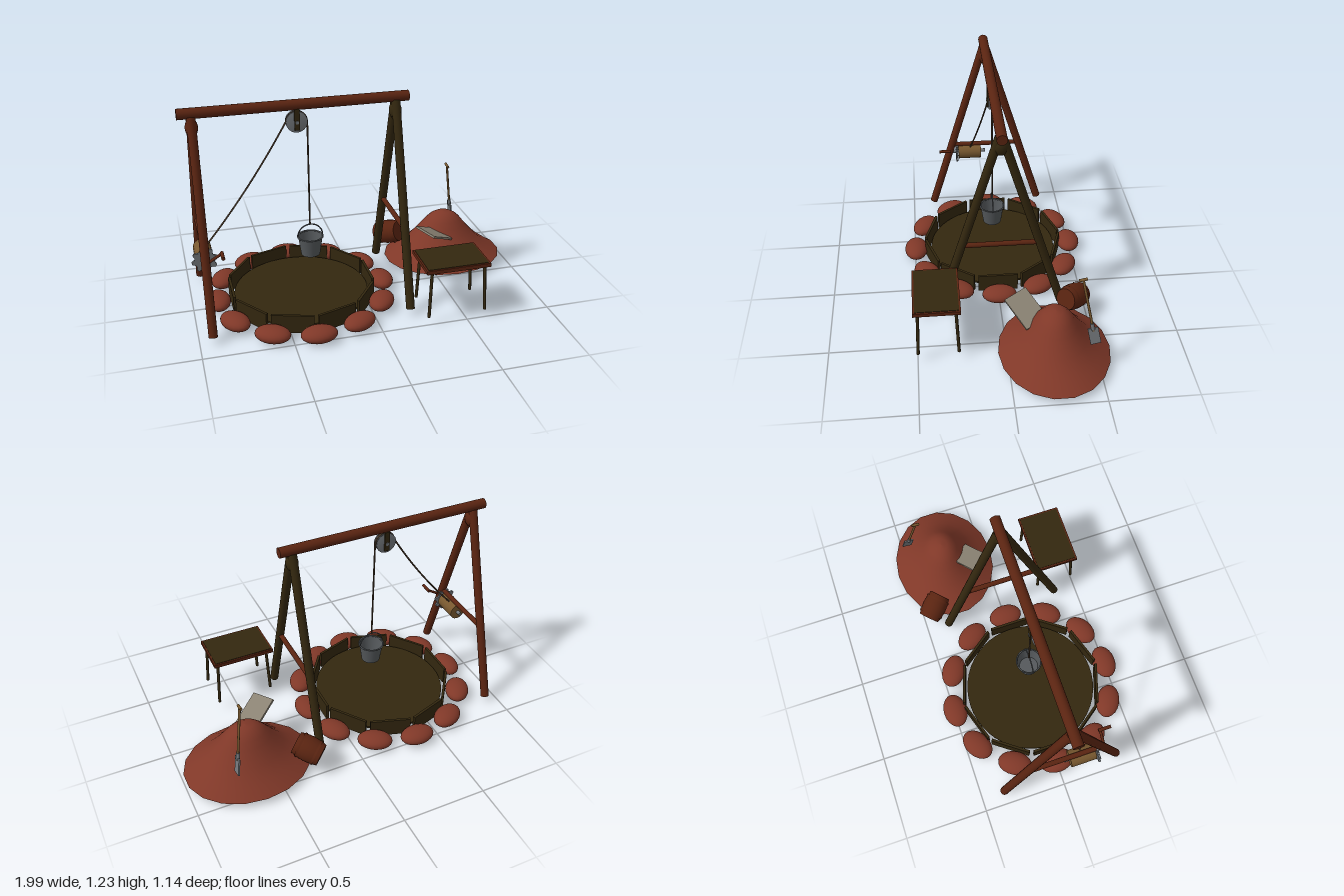
import * as THREE from 'three';

const mat = (name, color, side = THREE.FrontSide) => {
  const m = new THREE.MeshStandardMaterial({ color, side });
  m.name = name;
  return m;
};
const V = (x, y, z) => new THREE.Vector3(x, y, z);

export function createModel() {
  const root = new THREE.Group();
  root.name = 'well';
  const redWood = mat('redWood', 0x5a2411);
  const darkWood = mat('darkWood', 0x33270f);
  const clay = mat('clay', 0x803828, THREE.DoubleSide);
  const steel = mat('steel', 0x73777b);
  const iron = mat('iron', 0x55595c, THREE.DoubleSide);
  const ropeMat = mat('rope', 0x4a3a2a);
  const paleWood = mat('paleWood', 0x78582f);
  const slate = mat('slate', 0x8a8273);

  const add = (name, geo, material, pos = V(0, 0, 0), parent = root) => {
    const m = new THREE.Mesh(geo, material);
    m.name = name;
    m.position.copy(pos);
    parent.add(m);
    return m;
  };
  // Round bar running between two points
  const bar = (name, a, b, r, material, parent = root, r2 = r) => {
    const d = b.clone().sub(a);
    const m = add(name, new THREE.CylinderGeometry(r2, r, d.length(), 16), material,
      a.clone().add(b).multiplyScalar(0.5), parent);
    m.quaternion.setFromUnitVectors(V(0, 1, 0), d.normalize());
    return m;
  };

  // A-frames and top beam
  bar('topBeam', V(-1, 1.2, 0), V(0.28, 1.2, 0), 0.03, redWood);
  for (const [x, wood] of [[-0.925, redWood], [0.205, darkWood]]) {
    for (const s of [-1, 1]) bar('frameLeg', V(x, 0.035, s * 0.36), V(x, 1.18, s * 0.008), 0.025, wood);
    const lash = add('lashing', new THREE.SphereGeometry(1, 16, 12), wood, V(x, 1.12, 0));
    lash.scale.set(0.035, 0.052, 0.045);
    bar('crossTie', V(x, 0.48, -0.23), V(x, 0.48, 0.23), 0.015, redWood);
  }

  // Pit cover, lining boards and ring of stones
  const pit = new THREE.Group();
  pit.name = 'pit';
  pit.position.x = -0.362;
  root.add(pit);
  add('pitFloor', new THREE.CylinderGeometry(0.395, 0.395, 0.012, 48), darkWood, V(0, 0.045, 0), pit);
  for (let i = 0; i < 10; i++) {
    const a = i * Math.PI / 5;
    const m = add('liningBoard', new THREE.BoxGeometry(0.015, 0.11, 0.24), darkWood,
      V(Math.cos(a) * 0.41, 0.067, Math.sin(a) * 0.41), pit);
    m.rotation.y = -a;
  }
  for (let i = 0; i < 12; i++) {
    const a = i * Math.PI / 6;
    const m = add('rimStone', new THREE.SphereGeometry(1, 20, 14), clay,
      V(Math.cos(a) * 0.493, 0.045, Math.sin(a) * 0.493), pit);
    m.scale.set(0.072, 0.045, 0.104);
    m.rotation.y = -a;
  }

  // Pulley and its bracket
  const wheel = new THREE.LatheGeometry([[0, -0.018], [0.06, -0.018], [0.06, -0.009], [0.045, 0],
    [0.06, 0.009], [0.06, 0.018], [0, 0.018]].map(p => new THREE.Vector2(...p)), 28);
  add('pulleyWheel', wheel.toNonIndexed(), steel, V(-0.36, 1.105, 0)).rotation.x = Math.PI / 2;
  wheel.computeVertexNormals();
  for (const s of [-1, 1]) {
    add('pulleyBracket', new THREE.BoxGeometry(0.03, 0.12, 0.008), darkWood, V(-0.36, 1.12, s * 0.024));
  }
  bar('pulleyPin', V(-0.36, 1.105, -0.032), V(-0.36, 1.105, 0.032), 0.01, steel);

  // Ropes
  bar('bucketRope', V(-0.3, 0.47, 0.004), V(-0.3, 1.11, 0.004), 0.005, ropeMat);
  const run = new THREE.QuadraticBezierCurve3(V(-0.412, 1.12, 0.004), V(-0.63, 0.77, 0.05), V(-0.9, 0.47, 0.1));
  add('winchRope', new THREE.TubeGeometry(run, 16, 0.005, 8), ropeMat);
  const over = new THREE.EllipseCurve(-0.36, 1.105, 0.058, 0.058, 0, Math.PI).getPoints(12);
  add('pulleyRope', new THREE.TubeGeometry(new THREE.CatmullRomCurve3(
    over.map(p => V(p.x, p.y, 0.004))), 16, 0.005, 8), ropeMat);

  // Bucket
  const bucket = new THREE.Group();
  bucket.name = 'bucket';
  bucket.position.set(-0.3, 0, 0.006);
  root.add(bucket);
  add('bucketWall', new THREE.CylinderGeometry(0.072, 0.055, 0.115, 28, 1, true), iron, V(0, 0.342, 0), bucket);
  add('bucketBottom', new THREE.CylinderGeometry(0.055, 0.055, 0.006, 28), iron, V(0, 0.288, 0), bucket);
  add('bucketRim', new THREE.TorusGeometry(0.073, 0.005, 8, 28), iron, V(0, 0.397, 0), bucket).rotation.x = Math.PI / 2;
  add('bucketBail', new THREE.TorusGeometry(0.073, 0.004, 8, 24, Math.PI), iron, V(0, 0.4, 0), bucket);

  // Winch: drum, gear and crank
  const wx = -0.925, wy = 0.425;
  bar('winchDrum', V(wx, wy, 0.03), V(wx, wy, 0.18), 0.05, paleWood);
  bar('winchAxle', V(wx, wy, 0), V(wx, wy, 0.25), 0.011, steel);
  const gear = new THREE.Shape();
  for (let i = 0; i < 32; i++) {
    const a = (i + 0.5) * Math.PI / 16, r = i % 4 < 2 ? 0.072 : 0.056;
    gear[i ? 'lineTo' : 'moveTo'](Math.cos(a) * r, Math.sin(a) * r);
  }
  gear.closePath();
  add('winchGear', new THREE.ExtrudeGeometry(gear, { depth: 0.012, bevelEnabled: false }), steel, V(wx, wy, 0.185));
  bar('crankArm', V(wx, wy, 0.245), V(-0.835, 0.48, 0.245), 0.008, redWood);
  bar('crankHandle', V(-0.835, 0.48, 0.235), V(-0.835, 0.48, 0.31), 0.01, redWood);

  // Table with inset top and splayed legs
  add('tableFrame', new THREE.BoxGeometry(0.375, 0.022, 0.262), redWood, V(0.432, 0.343, 0.383));
  add('tablePanel', new THREE.BoxGeometry(0.355, 0.006, 0.242), darkWood, V(0.432, 0.354, 0.383));
  for (const sx of [-1, 1]) for (const sz of [-1, 1]) {
    bar('tableLeg', V(0.437 + sx * 0.168, 0.05, 0.383 + sz * 0.114),
      V(0.437 + sx * 0.155, 0.335, 0.383 + sz * 0.104), 0.009, darkWood);
  }

  // Earth mound, open underneath
  const slope = [[1, 0], [0.9, 0.024], [0.8, 0.05], [0.68, 0.082], [0.57, 0.12], [0.47, 0.16], [0.38, 0.2],
    [0.3, 0.238], [0.22, 0.266], [0.12, 0.286], [0, 0.291]].map(p => new THREE.Vector2(...p));
  const mound = add('earthMound', new THREE.LatheGeometry(slope, 18), clay, V(0.62, 0.033, -0.262));
  mound.scale.set(0.375, 1, 0.315);

  // Keg leaning against the mound
  const stave = [[0, -0.08], [0.064, -0.08], [0.064, -0.08], [0.073, -0.04], [0.076, 0], [0.073, 0.04],
    [0.064, 0.08], [0.064, 0.08], [0, 0.08]].map(p => new THREE.Vector2(...p));
  const keg = add('keg', new THREE.LatheGeometry(stave, 20), redWood, V(0.305, 0.14, -0.418));
  keg.quaternion.setFromUnitVectors(V(0, 1, 0), V(0.66, 0.3, 0.69).normalize());
  for (const y of [-0.05, 0.05]) {
    add('kegHoop', new THREE.CylinderGeometry(0.0745, 0.0745, 0.012, 20, 1, true), redWood, V(0, y, 0), keg);
  }

  // Flat slab resting in the mound
  const slab = add('slab', new THREE.BoxGeometry(0.21, 0.013, 0.146), slate, V(0.51, 0.25, -0.112));
  const ux = V(0.16, -0.085, -0.107).normalize();
  const uy = V(0.08, -0.025, 0.12).cross(ux).normalize();
  slab.quaternion.setFromRotationMatrix(new THREE.Matrix4().makeBasis(ux, uy, ux.clone().cross(uy)));

  // Shovel standing in the mound
  const shovel = new THREE.Group();
  shovel.name = 'shovel';
  shovel.position.set(0.75, 0.185, -0.465);
  shovel.quaternion.setFromUnitVectors(V(0, 1, 0), V(-0.07, 0.4, 0.08).normalize());
  root.add(shovel);
  bar('shovelShaft', V(0, 0.08, 0), V(0, 0.405, 0), 0.007, paleWood, shovel);
  bar('shovelGrip', V(0, 0.405, -0.023), V(0, 0.405, 0.023), 0.008, paleWood, shovel);
  add('shovelBlade', new THREE.BoxGeometry(0.009, 0.1, 0.058), steel, V(0, 0.05, 0), shovel);
  bar('shovelSocket', V(0, 0.09, 0), V(0, 0.13, 0), 0.011, steel, shovel);

  return root;
}
